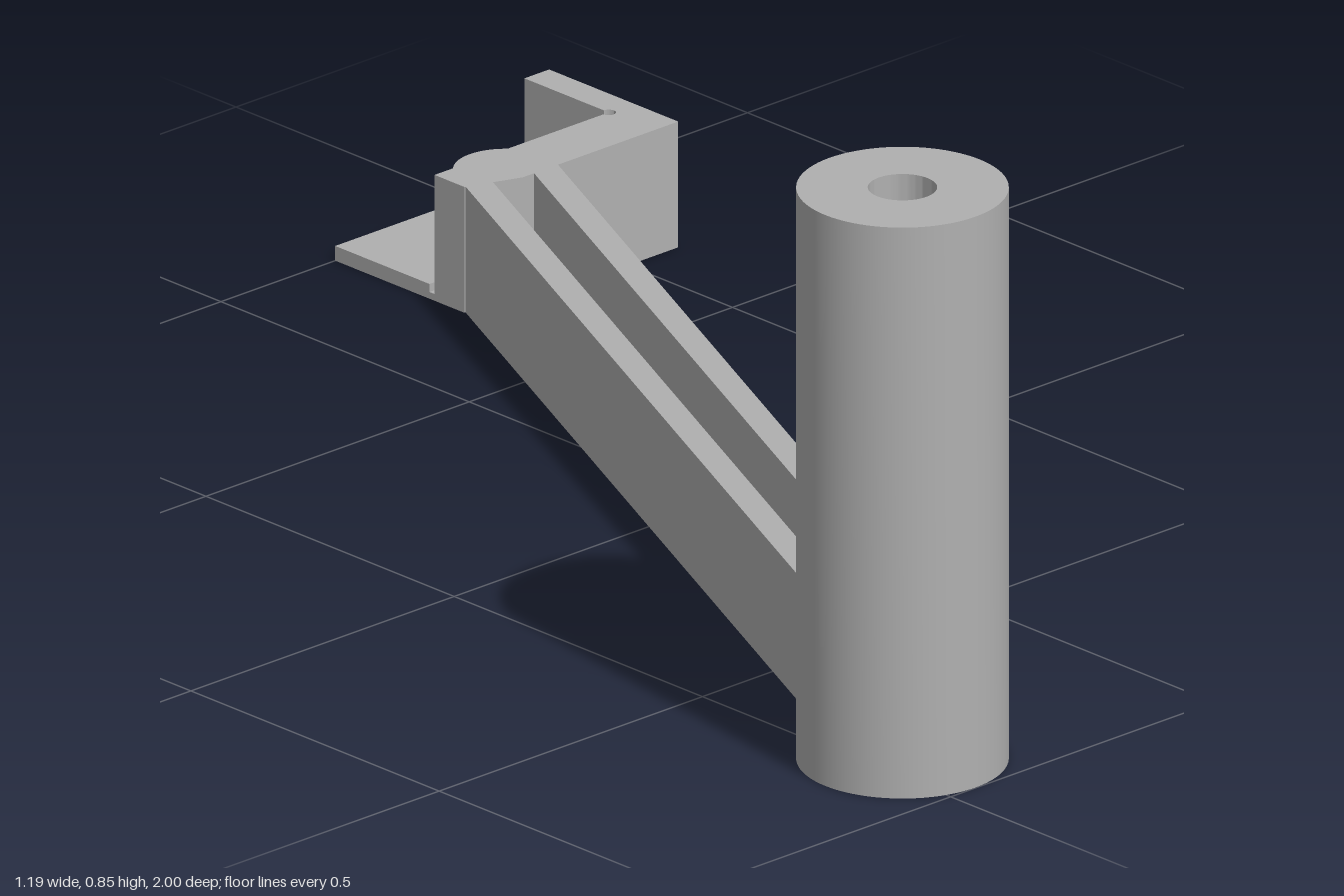
import * as THREE from 'three';
import { toCreasedNormals } from 'three/addons/utils/BufferGeometryUtils.js';

const grey = new THREE.MeshStandardMaterial({ color: 0xb0b0b0 });
grey.name = 'plain grey';

// Extrude a plan outline (x, -z) upward from height y0 to y1.
function slab(name, shape, y0, y1) {
  const geo = new THREE.ExtrudeGeometry(shape, { depth: y1 - y0, bevelEnabled: false, curveSegments: 40 });
  geo.rotateX(-Math.PI / 2);
  geo.translate(0, y0, 0);
  const mesh = new THREE.Mesh(toCreasedNormals(geo, 0.6), grey);
  mesh.name = name;
  return mesh;
}

// Polygon from plan points given as [x, z].
const plan = (points) => new THREE.Shape(points.map(([x, z]) => new THREE.Vector2(x, -z)));
const rect = (x0, x1, z0, z1) => plan([[x0, z1], [x1, z1], [x1, z0], [x0, z0]]);

// Arm outline along local x: square start, round end.
function armOutline(start, end, r) {
  const s = new THREE.Shape();
  s.moveTo(start, -r);
  s.lineTo(end, -r);
  s.absarc(end, 0, r, -Math.PI / 2, Math.PI / 2, false);
  s.lineTo(start, r);
  s.closePath();
  return s;
}

export function createModel() {
  const model = new THREE.Group();
  model.name = 'crankArm';
  const post = { x: -0.452, z: 0.852 };
  const height = 0.188, plate = 0.022;

  // Upright tube with a through bore
  const ring = new THREE.Shape().absarc(0, 0, 0.147, 0, Math.PI * 2, false);
  ring.holes.push(new THREE.Path().absarc(0, 0, 0.048, 0, Math.PI * 2, true));
  const tube = slab('post', ring, 0, 0.853);
  tube.position.set(post.x, 0, post.z);
  model.add(tube);

  // Diagonal arm with a long rounded slot open at the top
  const arm = new THREE.Group();
  arm.name = 'arm';
  const armEnd = 1.77, half = 0.073, floor = 0.03;
  const body = armOutline(0.09, armEnd, half);
  const slot = new THREE.Path();
  slot.absarc(0.18, 0, 0.032, -Math.PI / 2, Math.PI / 2, true);
  slot.absarc(1.758, 0, 0.032, Math.PI / 2, -Math.PI / 2, true);
  slot.closePath();
  body.holes.push(slot);
  arm.add(slab('armWalls', body, floor, height));
  arm.add(slab('armFloor', armOutline(0.09, armEnd, half), 0, floor));
  arm.position.set(post.x, 0, post.z);
  arm.rotation.y = Math.atan2(0.904, 0.427);
  model.add(arm);

  // Bracket: thin plate whose raised pads leave a fine groove beside the walls
  const bracket = new THREE.Group();
  bracket.name = 'bracket';
  bracket.add(slab('plateBase', rect(0.217, 0.595, -1, -0.74), 0, 0.01));
  bracket.add(slab('platePad', rect(0.217, 0.539, -1, -0.81), 0.01, plate));
  bracket.add(slab('plateLip', rect(0.555, 0.595, -1, -0.96), 0.01, plate));

  // L-shaped wall with a small relief nick in its inner corner
  const wall = new THREE.Shape();
  wall.moveTo(0.217, 0.74);
  wall.lineTo(0.30, 0.71);
  wall.lineTo(0.595, 0.71);
  wall.lineTo(0.595, 0.97);
  wall.lineTo(0.548, 0.97);
  wall.lineTo(0.548, 0.81);
  wall.absarc(0.548, 0.80, 0.01, Math.PI / 2, -Math.PI, true);
  wall.lineTo(0.217, 0.80);
  wall.closePath();
  bracket.add(slab('bracketWall', wall, 0, height));
  model.add(bracket);

  return model;
}
